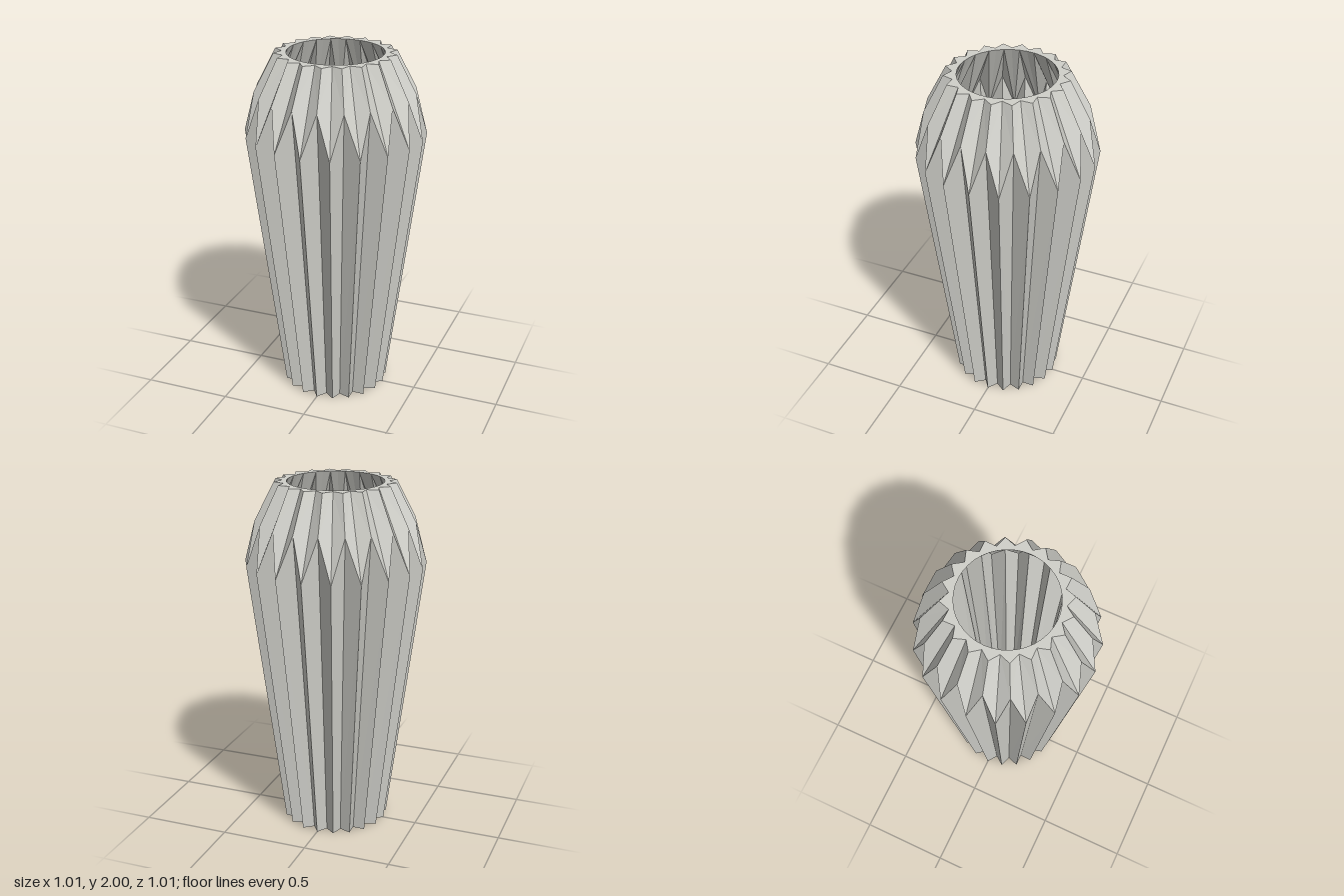
import * as THREE from 'three';

const POINTS = 20; // pleats around the vase

// A ring of alternating pleat tips and valleys, each with its own radius and height
function ring(tipR, tipY, valleyR = tipR, valleyY = tipY) {
  const pts = [];
  for (let j = 0; j < POINTS * 2; j++) {
    const t = (j * Math.PI) / POINTS;
    const r = j % 2 ? valleyR : tipR;
    pts.push([r * Math.sin(t), j % 2 ? valleyY : tipY, r * Math.cos(t)]);
  }
  return pts;
}

// Joins successive rings with triangles, folding symmetrically about each pleat
function loft(name, rings, material) {
  const pos = [];
  const n = POINTS * 2;
  for (let i = 0; i < rings.length - 1; i++) {
    for (let j = 0; j < n; j++) {
      const k = (j + 1) % n;
      const a = rings[i][j], b = rings[i][k];
      const c = rings[i + 1][j], d = rings[i + 1][k];
      const tris = j % 2 ? [a, b, d, a, d, c] : [a, b, c, b, d, c];
      tris.forEach((p) => pos.push(...p));
    }
  }
  const geo = new THREE.BufferGeometry();
  geo.setAttribute('position', new THREE.Float32BufferAttribute(pos, 3));
  geo.computeVertexNormals();
  const mesh = new THREE.Mesh(geo, material);
  mesh.name = name;
  return mesh;
}

export function createModel() {
  const group = new THREE.Group();
  group.name = 'pleatedVase';

  const ceramic = new THREE.MeshStandardMaterial({ color: 0xd0d0ca });
  ceramic.name = 'paleGreyCeramic';

  // Outer rings: tips turn into grooves above the shoulder
  const foot = ring(0.303, 0, 0.25, 0);
  const shoulder = ring(0.505, 1.55, 0.445, 1.79);
  const top = ring(0.292, 2, 0.336, 2);

  // Inner rings: round mouth, pleated hollow, flat floor
  const mouth = ring(0.267, 2);
  const innerShoulder = ring(0.468, 1.55, 0.412, 1.76);
  const floorEdge = ring(0.272, 0.04, 0.218, 0.04);

  group.add(
    loft('base', [ring(0, 0), foot], ceramic),
    loft('outerPleats', [foot, shoulder, top], ceramic),
    loft('rim', [top, mouth], ceramic),
    loft('innerWall', [mouth, innerShoulder, floorEdge], ceramic),
    loft('innerFloor', [floorEdge, ring(0, 0.04)], ceramic),
  );
  return group;
}
